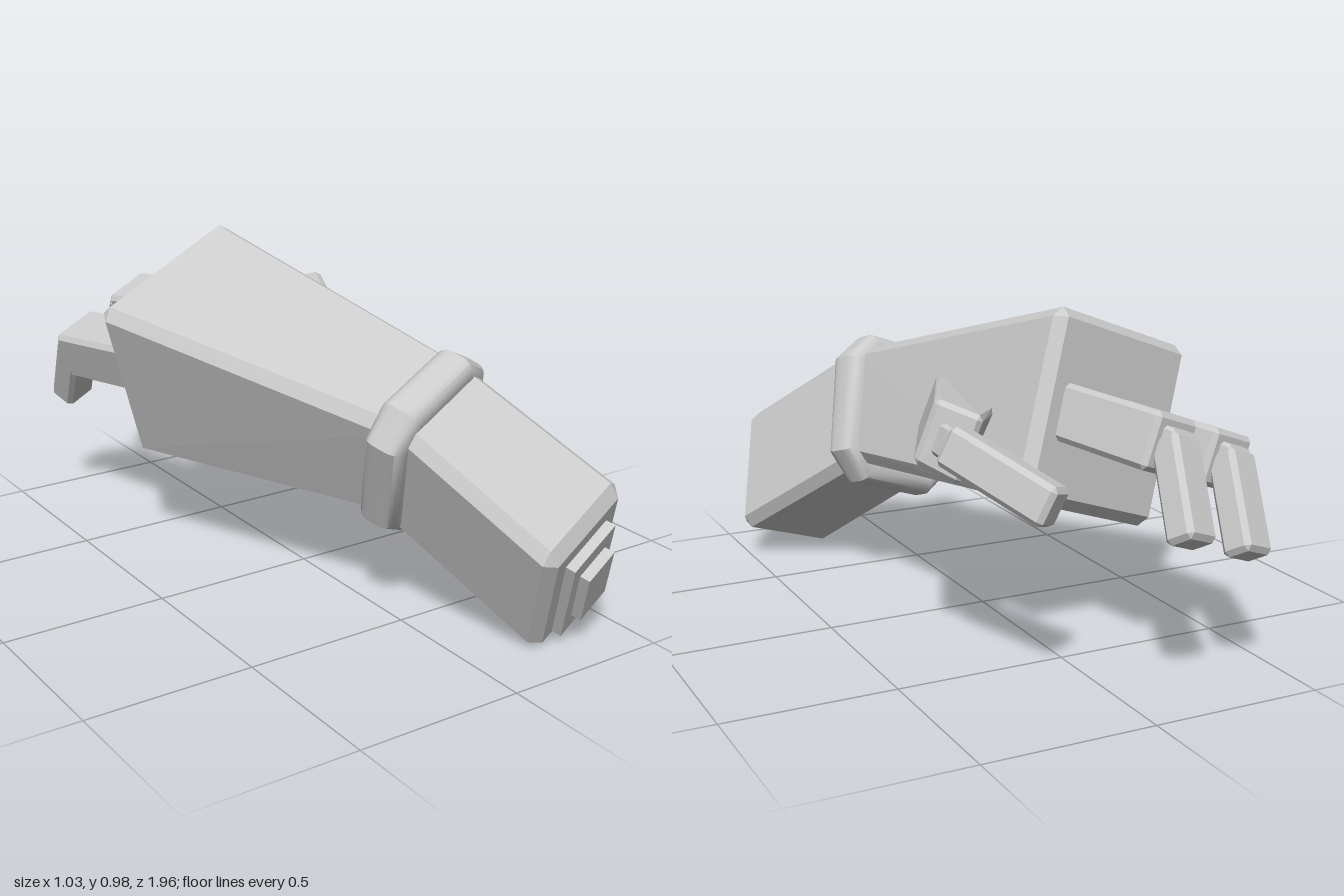
import * as THREE from 'three';
import { ConvexGeometry } from 'three/addons/geometries/ConvexGeometry.js';
import { toCreasedNormals } from 'three/addons/utils/BufferGeometryUtils.js';

const material = new THREE.MeshStandardMaterial({ color: 0xcccccc });
const V = (x, y, z) => new THREE.Vector3(x, y, z);

// Six-sided block between two four-cornered rings, with chamfered edges
function block(name, ringA, ringB, bevel) {
  const points = [];
  [[ringA, ringB], [ringB, ringA]].forEach(([ring, other]) => {
    for (let i = 0; i < 4; i++) {
      const edges = [ring[(i + 1) % 4], ring[(i + 3) % 4], other[i]]
        .map((p) => p.clone().sub(ring[i]).setLength(bevel));
      for (let k = 0; k < 3; k++) {
        points.push(ring[i].clone().add(edges[k]).add(edges[(k + 1) % 3]));
      }
    }
  });
  const mesh = new THREE.Mesh(new ConvexGeometry(points), material);
  mesh.name = name;
  return mesh;
}

// Ring symmetric in x: half width, top and bottom heights and their depths
function ring(half, top, bottom, zTop, zBottom = zTop) {
  return [V(-half, top, zTop), V(half, top, zTop), V(half, bottom, zBottom), V(-half, bottom, zBottom)];
}

// Straight bar from one point to another
function bar(name, from, to, up, width, height, bevel) {
  const dir = to.clone().sub(from).normalize();
  const side = dir.clone().cross(up).normalize();
  const top = side.clone().cross(dir);
  const ends = [from, to].map((c) => [[-1, 1], [1, 1], [1, -1], [-1, -1]].map(([s, t]) =>
    c.clone().addScaledVector(side, s * width / 2).addScaledVector(top, t * height / 2)));
  return block(name, ends[0], ends[1], bevel);
}

// Rounded band around the wrist
function wristBand() {
  const w = 0.18, h = 0.195, c = 0.06;
  const shape = new THREE.Shape([
    [w - c, h], [-w + c, h], [-w, h - c], [-w, -h + c],
    [-w + c, -h], [w - c, -h], [w, -h + c], [w, h - c],
  ].map(([x, y]) => new THREE.Vector2(x, y)));
  const geometry = new THREE.ExtrudeGeometry(shape, {
    depth: 0.04, bevelEnabled: true, bevelSize: 0.042, bevelThickness: 0.042, bevelSegments: 5,
  });
  geometry.translate(0, 0, -0.02);
  const mesh = new THREE.Mesh(toCreasedNormals(geometry, 0.6), material);
  mesh.name = 'wristBand';
  return mesh;
}

function finger(x, name) {
  const g = new THREE.Group();
  g.name = name;
  const up = V(0, 1, 0);
  g.add(bar('fingerBase', V(x, -0.125, -0.86), V(x, -0.269, -1.235), up, 0.168, 0.16, 0.014));
  g.add(bar('fingerKnuckle', V(x, -0.245, -1.2), V(x, -0.275, -1.265), up, 0.105, 0.085, 0.01));
  g.add(bar('fingerTip', V(x, -0.246, -1.243), V(x, -0.531, -1.303), V(0, 0, -1), 0.115, 0.09, 0.014));
  return g;
}

export function createModel() {
  const model = new THREE.Group();
  model.name = 'mechanicalHand';

  // Arm, palm and fingers share a tilted frame centred on the wrist
  const arm = new THREE.Group();
  arm.name = 'arm';
  const front = V(0.353, -0.29, 0.89).normalize();
  const across = V(0.908, 0.34, -0.25).addScaledVector(front, -V(0.908, 0.34, -0.25).dot(front)).normalize();
  const upward = front.clone().cross(across);
  arm.quaternion.setFromRotationMatrix(new THREE.Matrix4().makeBasis(across, upward, front));
  arm.position.set(0.104, 0.548, 0.445);
  model.add(arm);

  arm.add(block('forearm', ring(0.17, 0.205, -0.185, 0), ring(0.186, 0.043, -0.351, 0.541), 0.032));
  arm.add(block('palm', ring(0.172, 0.195, -0.165, 0.02), ring(0.28, 0.13, -0.402, -0.985, -0.855), 0.032));
  arm.add(wristBand());

  // Stepped panels on the end of the forearm
  [['endPanel', 0.21, 0.28, 0.57], ['endPanelInset', 0.13, 0.17, 0.6]].forEach(([name, w, h, z]) => {
    const panel = new THREE.Mesh(new THREE.BoxGeometry(w, h, 0.06), material);
    panel.name = name;
    panel.position.set(0, -0.175, z - 0.03);
    arm.add(panel);
  });

  arm.add(finger(-0.122, 'rightFinger'), finger(0.122, 'leftFinger'));

  // Thumb, with its base cut along the side of the palm
  const thumb = new THREE.Group();
  thumb.name = 'thumb';
  thumb.add(block('thumbBase',
    [V(0.15, 0.785, -0.01), V(0.205, 0.615, 0.02), V(0.18, 0.555, -0.27), V(0.12, 0.735, -0.32)],
    [V(0.362, 0.82, -0.455), V(0.42, 0.645, -0.43), V(0.328, 0.59, -0.52), V(0.27, 0.78, -0.555)], 0.014));
  const thumbUp = V(-0.34, 0.937, -0.09);
  thumb.add(bar('thumbKnuckle', V(0.335, 0.705, -0.46), V(0.335, 0.7, -0.55), thumbUp, 0.075, 0.09, 0.01));
  thumb.add(bar('thumbTip', V(0.35, 0.708, -0.515), V(0.193, 0.588, -0.805), thumbUp, 0.088, 0.115, 0.014));
  model.add(thumb);

  return model;
}
